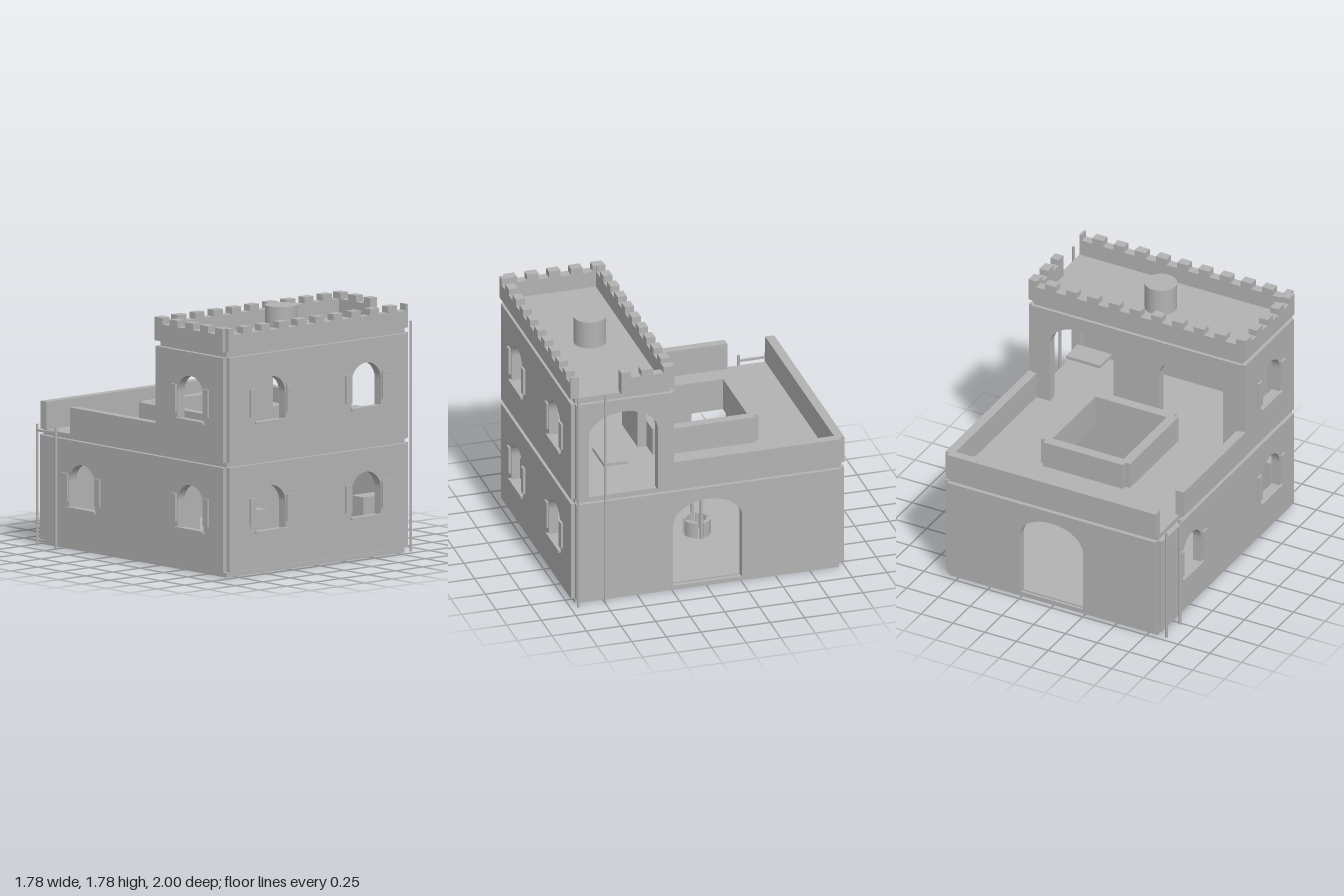
import * as THREE from 'three';

const T = 0.065; // wall thickness

export function createModel() {
  const model = new THREE.Group();
  model.name = 'courtyardHouse';
  const stone = new THREE.MeshStandardMaterial({ color: 0xb2b2b2 });
  stone.name = 'stone grey';

  const add = (parent, name, geometry) => {
    const mesh = new THREE.Mesh(geometry, stone);
    mesh.name = name;
    parent.add(mesh);
    return mesh;
  };
  // Box given by its two opposite corners
  const box = (parent, name, x0, x1, y0, y1, z0, z1) => {
    const mesh = add(parent, name, new THREE.BoxGeometry(x1 - x0, y1 - y0, z1 - z0));
    mesh.position.set((x0 + x1) / 2, (y0 + y1) / 2, (z0 + z1) / 2);
    return mesh;
  };
  const cylinder = (parent, name, r, x, z, y0, y1, sides = 32) => {
    const mesh = add(parent, name, new THREE.CylinderGeometry(r, r, y1 - y0, sides));
    mesh.position.set(x, (y0 + y1) / 2, z);
    return mesh;
  };

  // Wall with arched doorways cut up from the floor and arched windows;
  // its outer face lies at z = face
  const wall = (parent, name, x0, x1, y0, y1, face, doors = [], windows = []) => {
    const s = new THREE.Shape();
    s.moveTo(x0, y0);
    for (const cx of doors) {
      s.lineTo(cx - 0.25, y0);
      s.lineTo(cx - 0.25, y0 + 0.47);
      s.absellipse(cx, y0 + 0.47, 0.25, 0.172, Math.PI, 0, true);
      s.lineTo(cx + 0.25, y0);
    }
    s.lineTo(x1, y0);
    s.lineTo(x1, y1);
    s.lineTo(x0, y1);
    s.closePath();
    for (const cx of windows) {
      const b = y0 + 0.255, h = new THREE.Path();
      h.moveTo(cx - 0.135, b);
      h.lineTo(cx - 0.135, b + 0.185);
      h.absellipse(cx, b + 0.185, 0.135, 0.13, Math.PI, 0, true);
      h.lineTo(cx + 0.135, b);
      h.closePath();
      s.holes.push(h);
      // Sill and a pair of shutters
      box(parent, 'windowSill', cx - 0.145, cx + 0.145, b - 0.01, b + 0.008, face, face + 0.02);
      for (const side of [-1, 1]) {
        const c = cx + side * 0.168;
        box(parent, 'shutter', c - 0.026, c + 0.026, b + 0.045, b + 0.24, face, face + 0.016);
      }
    }
    const g = new THREE.ExtrudeGeometry(s, { depth: T, bevelEnabled: false, curveSegments: 14 });
    g.translate(0, 0, face - T);
    return add(parent, name, g);
  };

  // One group per side, each facing its own +z
  const side = (name, angle) => {
    const g = new THREE.Group();
    g.name = name;
    g.rotation.y = angle;
    model.add(g);
    return g;
  };
  const front = side('frontSide', 0);
  const back = side('backSide', Math.PI);
  const left = side('leftSide', Math.PI / 2);   // +x, local x = -z
  const right = side('rightSide', -Math.PI / 2); // -x, local x = z

  // Ground floor walls
  wall(front, 'lowerFrontWall', -0.82, 0.82, 0.04, 0.77, 0.98, [], [-0.44, 0.44]);
  wall(back, 'lowerBackWall', -0.82, 0.82, 0.04, 0.77, 0.995, [0]);
  wall(left, 'lowerLeftWall', -0.95, 0.965, 0.04, 0.77, 0.85, [0]);
  wall(right, 'lowerRightWall', -0.965, 0.95, 0.04, 0.77, 0.852, [], [-0.525, 0.61]);
  wall(front, 'innerPartition', -0.78, 0.78, 0.04, 0.77, 0.3, [-0.24]);

  // Tower walls
  wall(front, 'upperFrontWall', -0.82, 0.82, 0.805, 1.54, 0.98, [], [-0.44, 0.44]);
  wall(back, 'upperBackWall', -0.82, 0.82, 0.805, 1.54, -0.235, [-0.43, 0.43]);
  wall(left, 'upperLeftWall', -0.95, -0.245, 0.805, 1.54, 0.85, [-0.61]);
  wall(right, 'upperRightWall', 0.245, 0.95, 0.805, 1.54, 0.852, [], [0.61]);

  // Floor slabs, the terrace slab pierced by the courtyard opening
  box(model, 'groundSlab', -0.82, 0.82, 0, 0.032, -0.96, 0.95);
  box(model, 'groundFloor', -0.79, 0.79, 0.03, 0.042, -0.94, 0.93);
  const slab = new THREE.Shape();
  slab.moveTo(-0.82, -0.95).lineTo(0.82, -0.95).lineTo(0.82, 0.965).lineTo(-0.82, 0.965).closePath();
  const well = new THREE.Path();
  well.moveTo(-0.28, -0.16).lineTo(-0.28, 0.46).lineTo(0.28, 0.46).lineTo(0.28, -0.16).closePath();
  slab.holes.push(well);
  const slabGeo = new THREE.ExtrudeGeometry(slab, { depth: 0.037, bevelEnabled: false });
  slabGeo.rotateX(-Math.PI / 2);
  slabGeo.translate(0, 0.769, 0);
  add(model, 'terraceSlab', slabGeo);
  box(model, 'roofSlab', -0.82, 0.82, 1.538, 1.582, 0.26, 0.95);

  // Terrace parapet, open at the rear corner for the ladder
  wall(back, 'terraceBackParapet', -0.82, 0.82, 0.805, 1, 0.998);
  wall(left, 'terraceLeftParapet', -0.245, 0.965, 0.805, 1, 0.85);
  wall(right, 'terraceRightParapet', -0.65, 0.245, 0.805, 1, 0.855);

  // Raised curb around the courtyard opening
  for (const s of [-1, 1]) {
    const x = s * 0.315, z = -0.15 + s * 0.348;
    box(model, 'courtyardCurb', x - 0.035, x + 0.035, 0.805, 1, -0.5, 0.2);
    box(model, 'courtyardCurb', -0.315, 0.315, 0.805, 1, z - 0.037, z + 0.037);
  }

  // Tower parapet with battlements
  const battlement = (parent, x0, x1, face, start, pitch) => {
    wall(parent, 'towerParapet', x0, x1, 1.58, 1.7, face);
    for (let a = start; a < x1 - 0.01; a += pitch) {
      const p = Math.max(a, x0), q = Math.min(a + 0.084, x1);
      if (q > p) box(parent, 'merlon', p, q, 1.7, 1.745, face - T, face);
    }
  };
  battlement(front, -0.83, 0.82, 0.985, -0.867, 0.167);
  battlement(back, -0.82, 0.82, -0.235, -0.887, 0.167);
  battlement(left, -0.625, -0.24, 0.85, -0.64, 0.16);
  battlement(right, 0.24, 0.95, 0.857, 0.24, 0.158);

  // Round hatches on roof and terrace
  cylinder(model, 'roofTurret', 0.113, 0, 0.59, 1.58, 1.78, 40);
  cylinder(model, 'terraceDrum', 0.066, 0.665, -0.815, 0.8, 0.9);

  // Ladder poles at the sides
  for (const z of [0.75, 0.945]) cylinder(model, 'tallLadderPole', 0.01, 0.88, z, 0, 1.615, 10);
  for (const z of [-0.957, -0.76]) cylinder(model, 'shortLadderPole', 0.01, -0.885, z, 0, 0.85, 10);
  box(model, 'shortLadderRung', -0.893, -0.877, 0.8, 0.815, -0.957, -0.76);

  // Courtyard well: four curved wall pieces, two posts and a crossbar
  for (let k = 0; k < 4; k++) {
    const a0 = k * Math.PI / 2 + 0.2, a1 = (k + 1) * Math.PI / 2 - 0.2;
    const s = new THREE.Shape();
    s.absarc(0, 0, 0.098, a0, a1, false);
    s.absarc(0, 0, 0.07, a1, a0, true);
    s.closePath();
    const g = new THREE.ExtrudeGeometry(s, { depth: 0.115, bevelEnabled: false, curveSegments: 10 });
    g.rotateX(-Math.PI / 2);
    add(model, 'wellWall', g).position.set(0.095, 0.04, -0.155);
  }
  for (const x of [-0.01, 0.2]) box(model, 'wellPost', x - 0.01, x + 0.01, 0.04, 0.46, -0.165, -0.145);
  box(model, 'wellCrossbar', -0.05, 0.235, 0.46, 0.49, -0.172, -0.14);

  // Furniture
  box(model, 'lowerCabinet', -0.76, -0.4, 0.04, 0.43, 0.77, 0.9);
  box(model, 'lowerChest', 0.485, 0.76, 0.04, 0.415, 0.77, 0.9);
  box(model, 'upperShelf', 0.45, 0.72, 0.972, 0.995, 0.54, 0.71);
  for (const x of [-0.68, -0.5]) box(model, 'rackPost', x - 0.01, x + 0.01, 0.805, 1.21, 0.79, 0.86);
  for (const y of [0.93, 1.095, 1.205]) box(model, 'rackShelf', -0.69, -0.49, y - 0.01, y + 0.01, 0.79, 0.86);
  box(model, 'rackSeat', -0.69, -0.49, 0.92, 0.94, 0.76, 0.79);

  return model;
}
